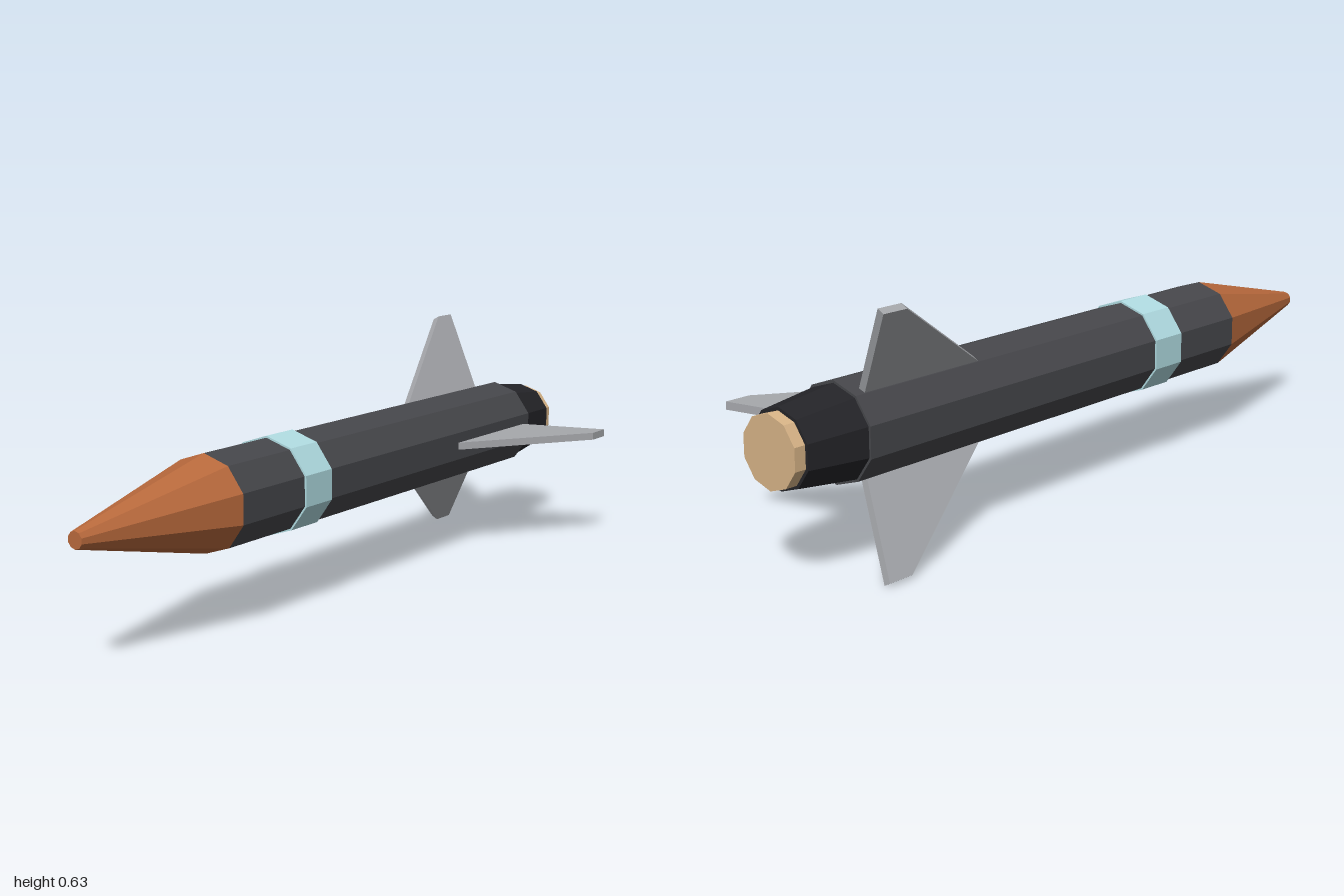
import * as THREE from 'three';

const SIDES = 10;

function material(color) {
  return new THREE.MeshStandardMaterial({ color, flatShading: true });
}

// Ten-sided section of the hull between two z positions
function section(name, zBack, zFront, rBack, rFront, color) {
  const geometry = new THREE.CylinderGeometry(rFront, rBack, zFront - zBack, SIDES);
  geometry.rotateX(Math.PI / 2);
  geometry.translate(0, 0, (zBack + zFront) / 2);
  const mesh = new THREE.Mesh(geometry, material(color));
  mesh.name = name;
  return mesh;
}

// Swept fin plate: outline in (radius, z), lying flat and pointing along +x
function finGeometry() {
  const thickness = 0.02;
  const outline = [[0.105, -0.393], [0.356, -0.76], [0.356, -0.83], [0.105, -0.777]];
  const shape = new THREE.Shape(outline.map(([r, z]) => new THREE.Vector2(r, -z)));
  const geometry = new THREE.ExtrudeGeometry(shape, { depth: thickness, bevelEnabled: false });
  geometry.translate(0, 0, -thickness / 2);
  geometry.rotateX(-Math.PI / 2);
  return geometry;
}

export function createModel() {
  const rocket = new THREE.Group();
  rocket.name = 'rocket';

  // Hull, from nose to tail
  rocket.add(
    section('noseCone', 0.56, 1, 0.122, 0.021, 0xb8693c),
    section('body', -0.81, 0.56, 0.122, 0.122, 0x46474b),
    section('band', 0.21, 0.318, 0.127, 0.127, 0xb0dce2),
    section('tailCone', -0.97, -0.81, 0.096, 0.116, 0x242428),
    section('nozzle', -1, -0.97, 0.088, 0.088, 0xd8b487)
  );

  // Three fins spaced evenly around the hull
  const geometry = finGeometry();
  const finMaterial = material(0xa6a8ac);
  for (let i = 0; i < 3; i++) {
    const fin = new THREE.Mesh(geometry, finMaterial);
    fin.name = `fin${i + 1}`;
    fin.rotation.z = (i * Math.PI * 2) / 3;
    rocket.add(fin);
  }

  rocket.position.set(-0.085, 0.314, 0);
  const model = new THREE.Group();
  model.add(rocket);
  return model;
}
